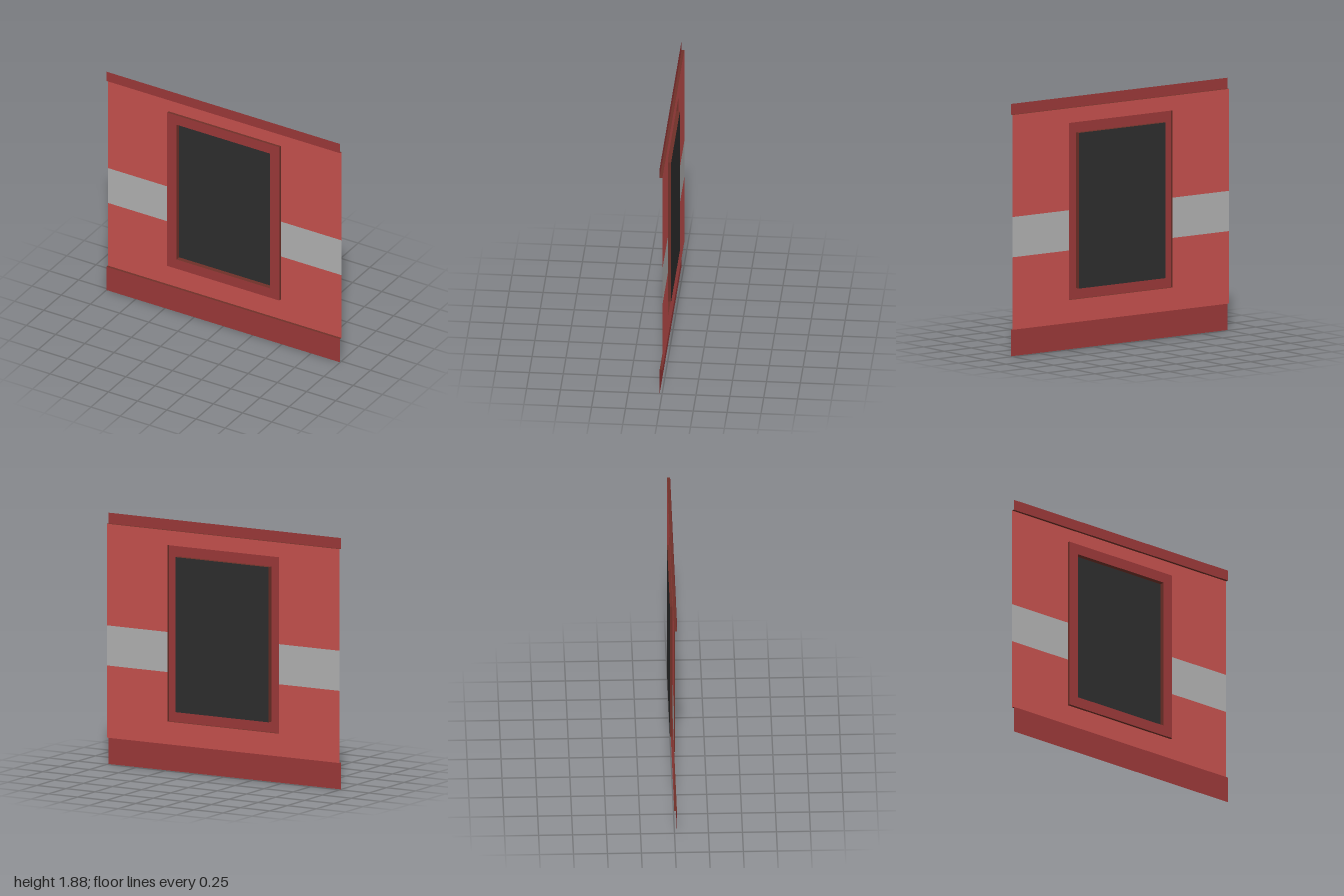
import * as THREE from 'three';

const mat = (name, color) => new THREE.MeshStandardMaterial({ name, color, side: THREE.DoubleSide });

export function createModel() {
  const red = mat('wall red', 0xc4504d);
  const darkRed = mat('trim dark red', 0x9a3838);
  const edge = mat('edge brown', 0x6e3028);
  const grey = mat('stripe grey', 0xb0b0b0);
  const glass = mat('window dark', 0x2d2d2d);

  const FRONT = 0.018, WALL = -0.002, BACK = -0.018;
  const model = new THREE.Group();
  model.name = 'wallPanel';

  const add = (name, geometry, material) => {
    const mesh = new THREE.Mesh(geometry, material);
    mesh.name = name;
    model.add(mesh);
    return mesh;
  };
  // Upright sheet facing front
  const sheet = (name, x0, x1, y0, y1, z, material) =>
    add(name, new THREE.PlaneGeometry(x1 - x0, y1 - y0), material)
      .position.set((x0 + x1) / 2, (y0 + y1) / 2, z);
  // Horizontal step between two depths; dir = 1 faces up, -1 faces down
  const ledge = (name, halfW, y, z0, z1, dir) => {
    const g = new THREE.PlaneGeometry(halfW * 2, z1 - z0).rotateX(-dir * Math.PI / 2);
    add(name, g, edge).position.set(0, y, (z0 + z1) / 2);
  };
  // Vertical step between two depths
  const jamb = (name, x, y0, y1, z0, z1, dir) => {
    const g = new THREE.PlaneGeometry(z1 - z0, y1 - y0).rotateY(dir * Math.PI / 2);
    add(name, g, edge).position.set(x, (y0 + y1) / 2, (z0 + z1) / 2);
  };

  // Wall around the window opening
  sheet('lowerWall', -1, 1, 0.2, 0.37, WALL, red);
  sheet('upperWall', -1, 1, 1.69, 1.8, WALL, red);
  for (const [side, x0, x1] of [['right', -1, -0.48], ['left', 0.48, 1]]) {
    sheet(side + 'LowerWall', x0, x1, 0.37, 0.74, WALL, red);
    sheet(side + 'Stripe', x0, x1, 0.74, 1.04, WALL, grey);
    sheet(side + 'UpperWall', x0, x1, 1.04, 1.69, WALL, red);
  }

  // Raised bands along the bottom and top
  sheet('bottomBand', -1, 1, 0, 0.2, FRONT, darkRed);
  ledge('bottomBandLedge', 1, 0.2, WALL, FRONT, 1);
  sheet('topBand', -1, 1, 1.8, 1.88, FRONT, darkRed);
  ledge('topBandLedge', 1, 1.8, WALL, FRONT, -1);

  // Raised window frame face
  sheet('frameBottom', -0.48, 0.48, 0.37, 0.45, FRONT, darkRed);
  sheet('frameTop', -0.48, 0.48, 1.61, 1.69, FRONT, darkRed);
  sheet('frameRight', -0.48, -0.4, 0.45, 1.61, FRONT, darkRed);
  sheet('frameLeft', 0.4, 0.48, 0.45, 1.61, FRONT, darkRed);

  // Frame outer edges and the deep window reveal
  ledge('frameOuterTop', 0.48, 1.69, WALL, FRONT, 1);
  ledge('frameOuterBottom', 0.48, 0.37, WALL, FRONT, -1);
  ledge('revealSill', 0.4, 0.45, BACK, FRONT, 1);
  ledge('revealHead', 0.4, 1.61, BACK, FRONT, -1);
  for (const [side, s] of [['Left', 1], ['Right', -1]]) {
    jamb('frameOuter' + side, s * 0.48, 0.37, 1.69, WALL, FRONT, s);
    jamb('reveal' + side, s * 0.4, 0.45, 1.61, BACK, FRONT, -s);
  }

  // Recessed window pane
  sheet('windowPane', -0.4, 0.4, 0.45, 1.61, BACK, glass);

  return model;
}
